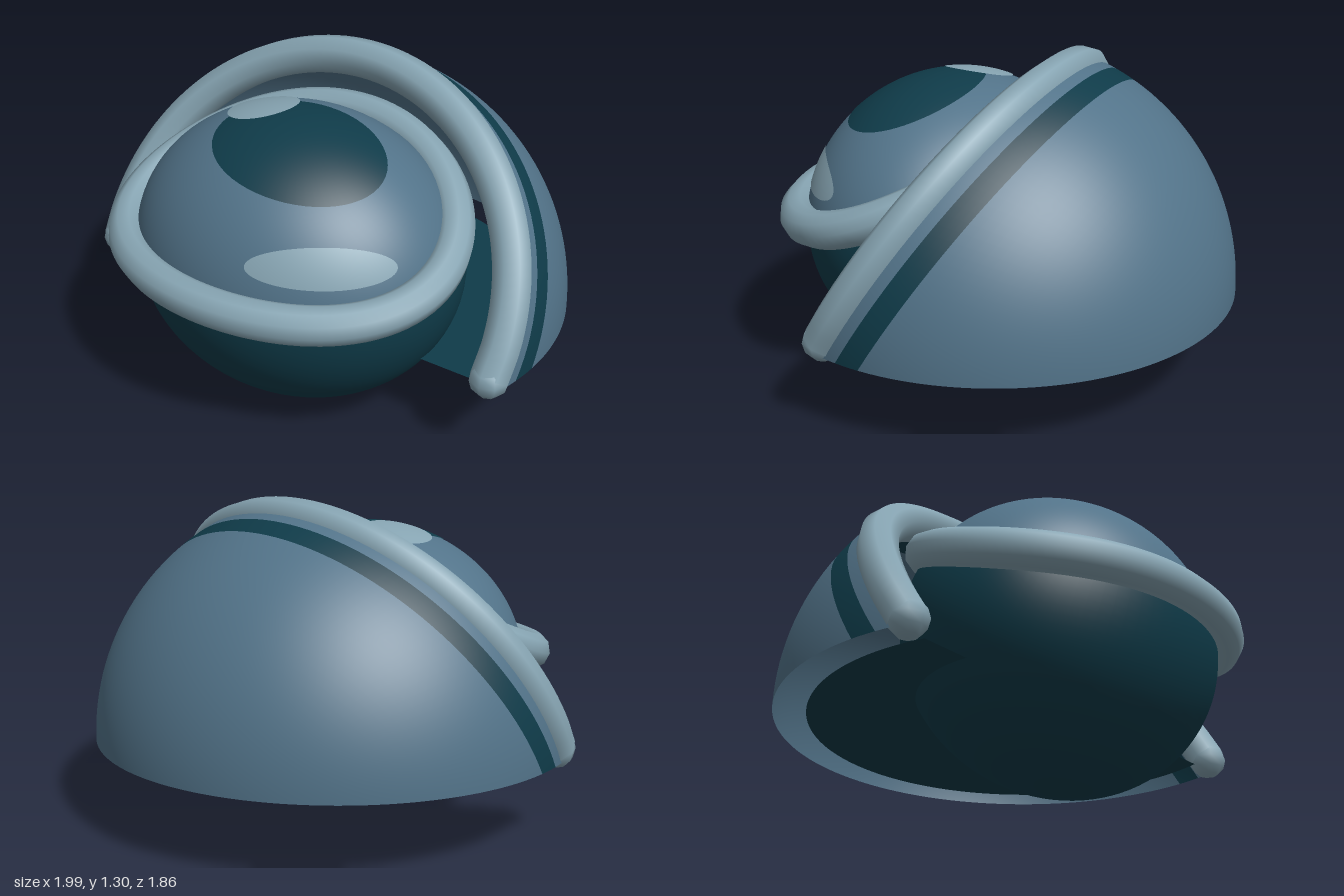
import * as THREE from 'three';

const V = (x, y, z) => new THREE.Vector3(x, y, z);
const material = (name, color, side = THREE.FrontSide) => {
  const m = new THREE.MeshStandardMaterial({ color, side });
  m.name = name;
  return m;
};

// Grid on an ellipsoid; dirAt(u, v) gives a unit direction from its centre
function ellipsoidPatch(centre, radii, dirAt, nu, nv, lift = 1) {
  const pos = [], nor = [], idx = [];
  for (let j = 0; j <= nv; j++) {
    for (let i = 0; i <= nu; i++) {
      const d = dirAt(i / nu, j / nv);
      pos.push(...d.clone().multiply(radii).multiplyScalar(lift).add(centre).toArray());
      nor.push(...d.clone().divide(radii).normalize().toArray());
      if (i < nu && j < nv) {
        const a = j * (nu + 1) + i, b = a + nu + 1;
        idx.push(a, a + 1, b, a + 1, b + 1, b);
      }
    }
  }
  const g = new THREE.BufferGeometry();
  g.setAttribute('position', new THREE.Float32BufferAttribute(pos, 3));
  g.setAttribute('normal', new THREE.Float32BufferAttribute(nor, 3));
  g.setIndex(idx);
  return g;
}

function slerp(a, b, t) {
  const w = a.angleTo(b);
  return a.clone().multiplyScalar(Math.sin((1 - t) * w) / Math.sin(w))
    .addScaledVector(b, Math.sin(t * w) / Math.sin(w)).normalize();
}

export function createModel() {
  const group = new THREE.Group();
  const blue = material('slate blue', 0x527389);
  const blueShell = material('slate blue shell', 0x527389, THREE.DoubleSide);
  const dark = material('deep teal', 0x0f3b49);
  const darkShell = material('deep teal shell', 0x0f3b49, THREE.DoubleSide);
  const light = material('pale blue', 0x87a5b3);
  const add = (name, geometry, mat) => {
    const mesh = new THREE.Mesh(geometry, mat);
    mesh.name = name;
    group.add(mesh);
    return mesh;
  };

  // Ring around the eye: an oval that climbs toward the back
  const ringPoint = (t) => {
    const z = 0.333 + 0.522 * Math.sin(t), u = z - 0.3;
    return V(0.69 * Math.cos(t), 0.74 - 0.377 * u + 0.355 * u * u, z);
  };
  const ringPoints = Array.from({ length: 32 }, (_, i) => ringPoint(i / 32 * Math.PI * 2));
  const ringCurve = new THREE.CatmullRomCurve3(ringPoints, true);
  add('eyeRing', new THREE.TubeGeometry(ringCurve, 112, 0.075, 10, true), light);

  // Eyeball, split in two colours along the ring
  const eyeC = V(0, 0.585, 0.25), eyeR = V(0.69, 0.585, 0.58);
  const eyeHalf = (sign) => {
    const pole = V(0, 0.91 * sign, 0.41 * sign).normalize();
    return ellipsoidPatch(eyeC, eyeR, (u, v) => {
      const rim = ringPoint(-sign * u * Math.PI * 2).sub(eyeC).divide(eyeR).normalize();
      return slerp(rim, pole, v);
    }, 80, 32);
  };
  add('eyeUpper', eyeHalf(1), blue);
  add('eyeLower', eyeHalf(-1), dark);

  // Painted ovals on the eye; half sizes are angles in degrees
  const oval = (name, dir, across, a, b, lift, mat) => {
    const d = dir.normalize();
    const e1 = across.addScaledVector(d, -across.dot(d)).normalize();
    const e2 = d.clone().cross(e1);
    const ra = THREE.MathUtils.degToRad(a), rb = THREE.MathUtils.degToRad(b);
    add(name, ellipsoidPatch(eyeC, eyeR, (u, v) => {
      const p = u * Math.PI * 2;
      const x = ra * Math.cos(p) * (1 - v), y = rb * Math.sin(p) * (1 - v);
      const r = Math.hypot(x, y) || 1;
      return d.clone().multiplyScalar(Math.cos(Math.hypot(x, y)))
        .addScaledVector(e1, x / r * Math.sin(r)).addScaledVector(e2, y / r * Math.sin(r));
    }, 56, 16, lift), mat);
  };
  oval('pupil', V(0.15, 0.96, 0.23), V(1, 0, 0), 30.5, 27.5, 1.005, dark);
  oval('roundHighlight', V(-0.26, 0.965, -0.035), V(1, 0, 0), 12, 14, 1.01, light);
  oval('longHighlight', V(0.587, 0.407, 0.70), V(0.70, 0, -0.587), 25, 7.5, 1.006, light);

  // Hood: a dome cut by the slanted front plane and the level base,
  // made as bands between planes parallel to the front one
  const R = 0.99, base = 0.32;
  const hoodC = V(0, base, 0.06), hoodR = V(R, R, R);
  const normal = V(0, 0.53, 0.848), up = V(0, 0.848, -0.53);
  const band = (name, d0, d1, mat, steps) => {
    const a0 = Math.asin(d0 / R), a1 = Math.asin(d1 / R);
    add(name, ellipsoidPatch(hoodC, hoodR, (u, v) => {
      const a = a0 + (a1 - a0) * Math.sin(v * Math.PI / 2);
      const s = THREE.MathUtils.clamp(-Math.tan(a) * 0.53 / 0.848, -1, 1);
      const low = Math.asin(s);
      const phi = Math.PI - low - u * (Math.PI - 2 * low);
      return normal.clone().multiplyScalar(Math.sin(a))
        .addScaledVector(V(1, 0, 0), Math.cos(a) * Math.cos(phi))
        .addScaledVector(up, Math.cos(a) * Math.sin(phi)).normalize();
    }, 72, steps), mat);
  };
  band('hoodEdge', 0.242, 0.14, blueShell, 4);
  band('hoodStripe', 0.14, 0.051, darkShell, 4);
  band('hoodBack', 0.051, -0.848 * R, blueShell, 40);

  // Tube along the front edge of the hood, with rounded ends
  const rimC = V(0, 0.448, 0.265);
  const rimPoint = (phi) => rimC.clone()
    .addScaledVector(V(1, 0, 0), 0.918 * Math.cos(phi))
    .addScaledVector(up, 0.918 * Math.sin(phi));
  const start = -0.11;
  const rimPoints = Array.from({ length: 25 },
    (_, i) => rimPoint(start + i / 24 * (Math.PI - 2 * start)));
  add('hoodRim', new THREE.TubeGeometry(
    new THREE.CatmullRomCurve3(rimPoints), 80, 0.078, 8, false), light);
  for (const end of [rimPoints[0], rimPoints[24]]) {
    add('hoodRimEnd', new THREE.SphereGeometry(0.078, 8, 6), light).position.copy(end);
  }

  // Thin floor inside the hood, straight across the front
  const floorR = 0.86, a = Math.asin(0.25 / floorR);
  const floorShape = new THREE.Shape();
  floorShape.absarc(0, 0, floorR, -a, Math.PI + a, false);
  floorShape.closePath();
  const floor = add('hoodFloor', new THREE.ShapeGeometry(floorShape, 64), darkShell);
  floor.rotation.x = -Math.PI / 2;
  floor.position.set(0, base + 0.002, 0.06);

  return group;
}
